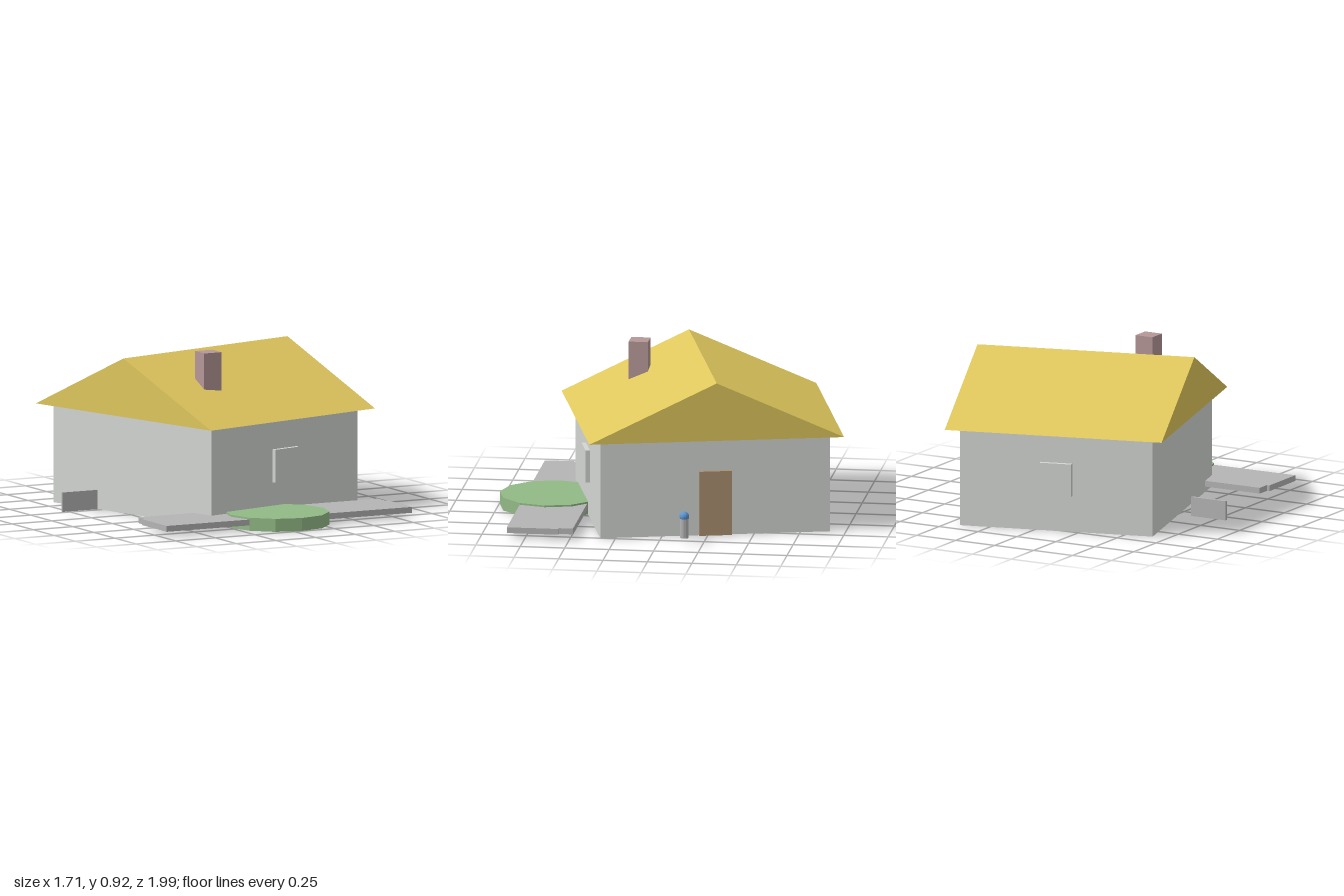
import * as THREE from 'three';

export function createModel() {
  const model = new THREE.Group();
  const mat = (name, color) => {
    const m = new THREE.MeshStandardMaterial({ color, flatShading: true });
    m.name = name;
    return m;
  };
  const wallGrey = mat('wall grey', 0xd3d6d2);
  const roofYellow = mat('roof yellow', 0xdfc75d);
  const doorBrown = mat('door brown', 0xab9070);
  const chimneyMauve = mat('chimney mauve', 0xb59696);
  const stoneGrey = mat('stone grey', 0xb4b4b4);
  const lawnGreen = mat('lawn green', 0x92ba86);
  const lampBlue = mat('lamp blue', 0x5f97d3);

  const add = (parent, name, geometry, material, x, y, z) => {
    const mesh = new THREE.Mesh(geometry, material);
    mesh.name = name;
    mesh.position.set(x, y, z);
    parent.add(mesh);
    return mesh;
  };
  // Box given by its lower and upper corner
  const addBox = (parent, name, material, [x0, y0, z0], [x1, y1, z1]) =>
    add(parent, name, new THREE.BoxGeometry(x1 - x0, y1 - y0, z1 - z0), material,
      (x0 + x1) / 2, (y0 + y1) / 2, (z0 + z1) / 2);

  // House, turned 15 degrees on the plot
  const house = new THREE.Group();
  house.name = 'house';
  house.position.set(0.047, 0, -0.145);
  house.rotation.y = Math.PI / 12;
  model.add(house);

  addBox(house, 'walls', wallGrey, [-0.555, 0, -0.645], [0.555, 0.556, 0.645]);

  // Gable roof: triangle extruded along the ridge
  const gable = new THREE.Shape([
    new THREE.Vector2(-0.715, 0), new THREE.Vector2(0.715, 0), new THREE.Vector2(0, 0.33),
  ]);
  const roof = new THREE.ExtrudeGeometry(gable, { depth: 1.25, bevelEnabled: false });
  roof.translate(0, 0, -0.625).rotateY(Math.PI / 2);
  add(house, 'roof', roof, roofYellow, 0, 0.556, 0);

  // Door on the side wall, a window in front and one behind
  addBox(house, 'door', doorBrown, [0.545, 0.002, -0.092], [0.58, 0.37, 0.092]);
  for (const [name, side] of [['frontWindow', 1], ['backWindow', -1]])
    add(house, name, new THREE.BoxGeometry(0.184, 0.185, 0.035), wallGrey, 0, 0.2975, side * 0.6525);

  // Chimney, square to the plot
  addBox(model, 'chimney', chimneyMauve, [-0.192, 0.62, 0.182], [-0.083, 0.924, 0.29]);

  // Path in two strips, with the round lawn over it
  addBox(model, 'path', stoneGrey, [-0.727, 0.03, 0.56], [0.822, 0.063, 0.85]);
  addBox(model, 'pathEdge', stoneGrey, [-0.71, 0.03, 0.481], [0.803, 0.063, 0.56]);
  add(model, 'lawn', new THREE.CylinderGeometry(0.292, 0.292, 0.073, 12), lawnGreen, 0.048, 0.0365, 0.704);

  // Low sign board beside the house
  addBox(model, 'board', stoneGrey, [-0.856, 0.022, -0.157], [-0.635, 0.131, -0.141]);

  // Garden lamp
  add(model, 'lampPost', new THREE.CylinderGeometry(0.025, 0.025, 0.122, 12), stoneGrey, 0.822, 0.099, -0.148);
  add(model, 'lampGlobe', new THREE.SphereGeometry(0.028, 12, 8), lampBlue, 0.822, 0.16, -0.148);

  return model;
}
